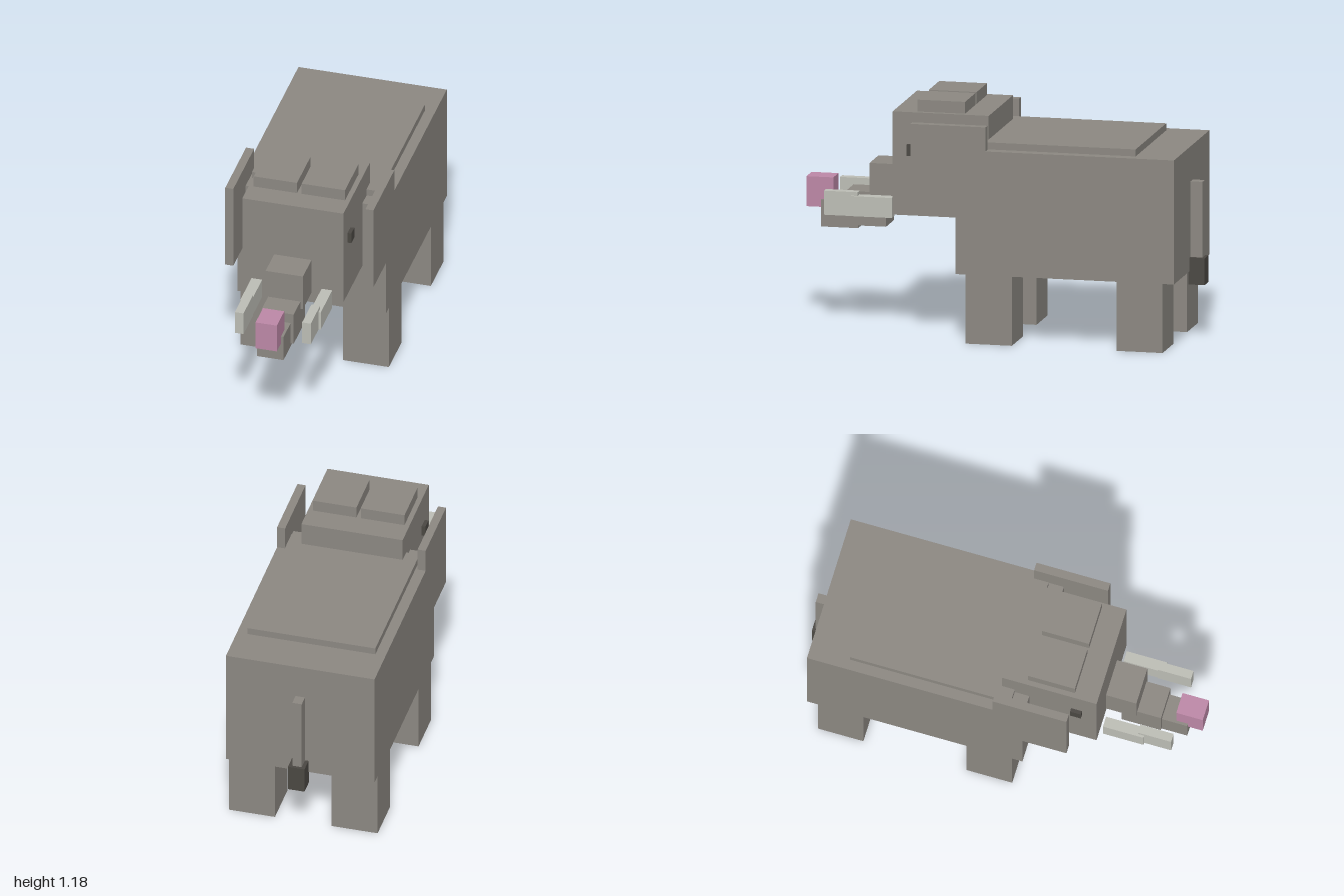
import * as THREE from 'three';

const material = (name, color) => {
  const m = new THREE.MeshStandardMaterial({ color });
  m.name = name;
  return m;
};

export function createModel() {
  const skin = material('grey skin', 0x8c8882);
  const ivory = material('ivory', 0xbdbeb6);
  const pink = material('pink trunk tip', 0xbd88a7);
  const dark = material('dark hair and eyes', 0x4b4843);

  const model = new THREE.Group();
  model.name = 'elephant';

  // Box given by its minimum and maximum on each axis
  const box = (name, mat, [x0, x1], [y0, y1], [z0, z1]) => {
    const mesh = new THREE.Mesh(new THREE.BoxGeometry(x1 - x0, y1 - y0, z1 - z0), mat);
    mesh.position.set((x0 + x1) / 2, (y0 + y1) / 2, (z0 + z1) / 2);
    mesh.name = name;
    model.add(mesh);
  };
  // Box centred on x = 0
  const centred = (name, mat, half, y, z) => box(name, mat, [-half, half], y, z);
  // The same box on both sides
  const pair = (name, mat, [x0, x1], y, z) => {
    box(name + 'Left', mat, [x0, x1], y, z);
    box(name + 'Right', mat, [-x1, -x0], y, z);
  };

  // Body and raised back
  centred('body', skin, 0.377, [0.345, 0.965], [-0.925, 0.175]);
  centred('back', skin, 0.325, [0.965, 1.0], [-0.72, 0.1]);

  // Legs
  pair('frontLeg', skin, [0.144, 0.377], [0, 0.345], [-0.11, 0.123]);
  pair('hindLeg', skin, [0.144, 0.377], [0, 0.345], [-0.868, -0.637]);

  // Head with twin domes, ears and eyes
  centred('head', skin, 0.257, [0.602, 1.118], [0.035, 0.518]);
  pair('headDome', skin, [0.012, 0.232], [1.118, 1.177], [0.16, 0.4]);
  pair('ear', skin, [0.336, 0.377], [0.638, 1.085], [0.023, 0.4]);
  pair('eye', dark, [0.25, 0.276], [0.903, 0.959], [0.388, 0.443]);

  // Trunk, curling up at the tip
  centred('trunkBase', skin, 0.095, [0.63, 0.82], [0.5, 0.673]);
  centred('trunkMiddle', skin, 0.082, [0.502, 0.672], [0.593, 0.795]);
  centred('trunkEnd', skin, 0.067, [0.485, 0.62], [0.738, 0.925]);
  centred('trunkTip', pink, 0.054, [0.58, 0.73], [0.865, 1.0]);

  // Tusks
  pair('tuskBase', ivory, [0.151, 0.205], [0.573, 0.673], [0.535, 0.742]);
  pair('tuskTip', ivory, [0.149, 0.193], [0.571, 0.691], [0.71, 0.88]);

  // Tail and tuft
  centred('tail', skin, 0.024, [0.41, 0.79], [-0.985, -0.925]);
  centred('tailTuft', dark, 0.042, [0.278, 0.412], [-1.0, -0.92]);

  return model;
}
